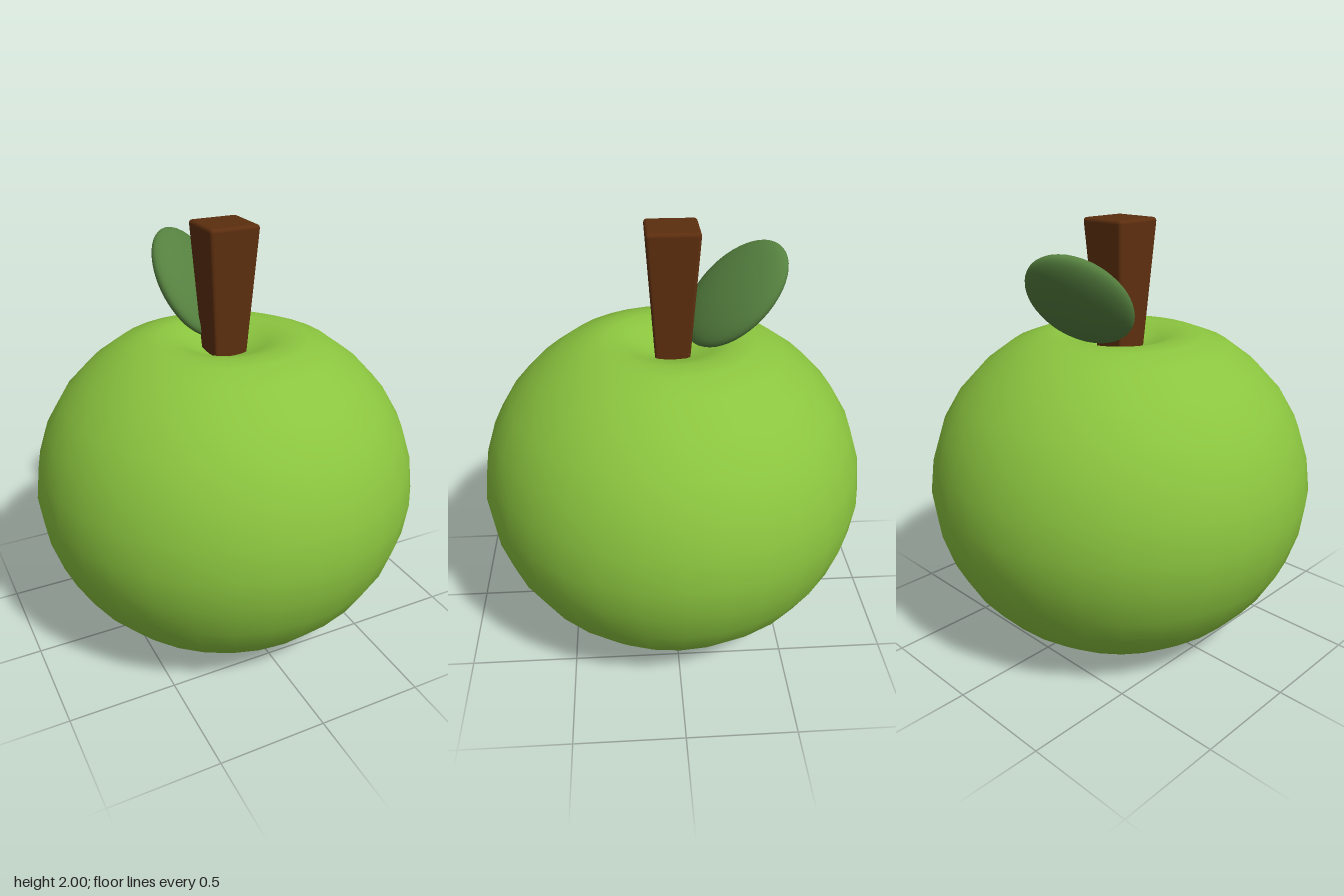
import * as THREE from 'three';
import { RoundedBoxGeometry } from 'three/addons/geometries/RoundedBoxGeometry.js';

function part(name, geometry, color) {
  const mesh = new THREE.Mesh(geometry, new THREE.MeshStandardMaterial({ color }));
  mesh.name = name;
  return mesh;
}

export function createModel() {
  const group = new THREE.Group();
  group.name = 'apple';

  // Fruit body: one turned profile with a shallow dent below and a dip on top
  const profile = [
    [0, 0.04], [0.12, 0.036], [0.24, 0.022], [0.325, 0.004], [0.35, 0.004],
    [0.51, 0.07], [0.645, 0.175], [0.757, 0.3], [0.84, 0.445], [0.89, 0.6], [0.91, 0.755],
    [0.89, 0.915], [0.84, 1.07], [0.757, 1.21], [0.645, 1.33], [0.51, 1.43],
    [0.385, 1.477], [0.29, 1.485], [0.2, 1.46], [0.1, 1.415], [0, 1.395],
  ].map(([r, y]) => new THREE.Vector2(r, y));
  group.add(part('fruit', new THREE.LatheGeometry(profile, 32), 0x8bc53f));

  // Stem: square rounded post, narrowing towards the fruit
  const bottom = 1.36, top = 2;
  const stemGeometry = new RoundedBoxGeometry(0.24, top - bottom, 0.24, 3, 0.018);
  stemGeometry.translate(0, (top + bottom) / 2, 0);
  const pos = stemGeometry.attributes.position;
  for (let i = 0; i < pos.count; i++) {
    const t = (pos.getY(i) - bottom) / (top - bottom);
    const s = THREE.MathUtils.lerp(0.63, 1, t);
    pos.setX(i, pos.getX(i) * s);
    pos.setZ(i, pos.getZ(i) * s);
  }
  group.add(part('stem', stemGeometry, 0x5c2e0e));

  // Leaf: flattened ellipsoid leaning back from the stem and twisted
  const leaf = part('leaf', new THREE.SphereGeometry(1, 32, 24), 0x55803f);
  leaf.scale.set(0.213, 0.292, 0.072);
  leaf.rotation.set(-Math.PI / 4, 0.47, 0);
  leaf.position.set(-0.042, 1.67, -0.285);
  group.add(leaf);

  return group;
}
